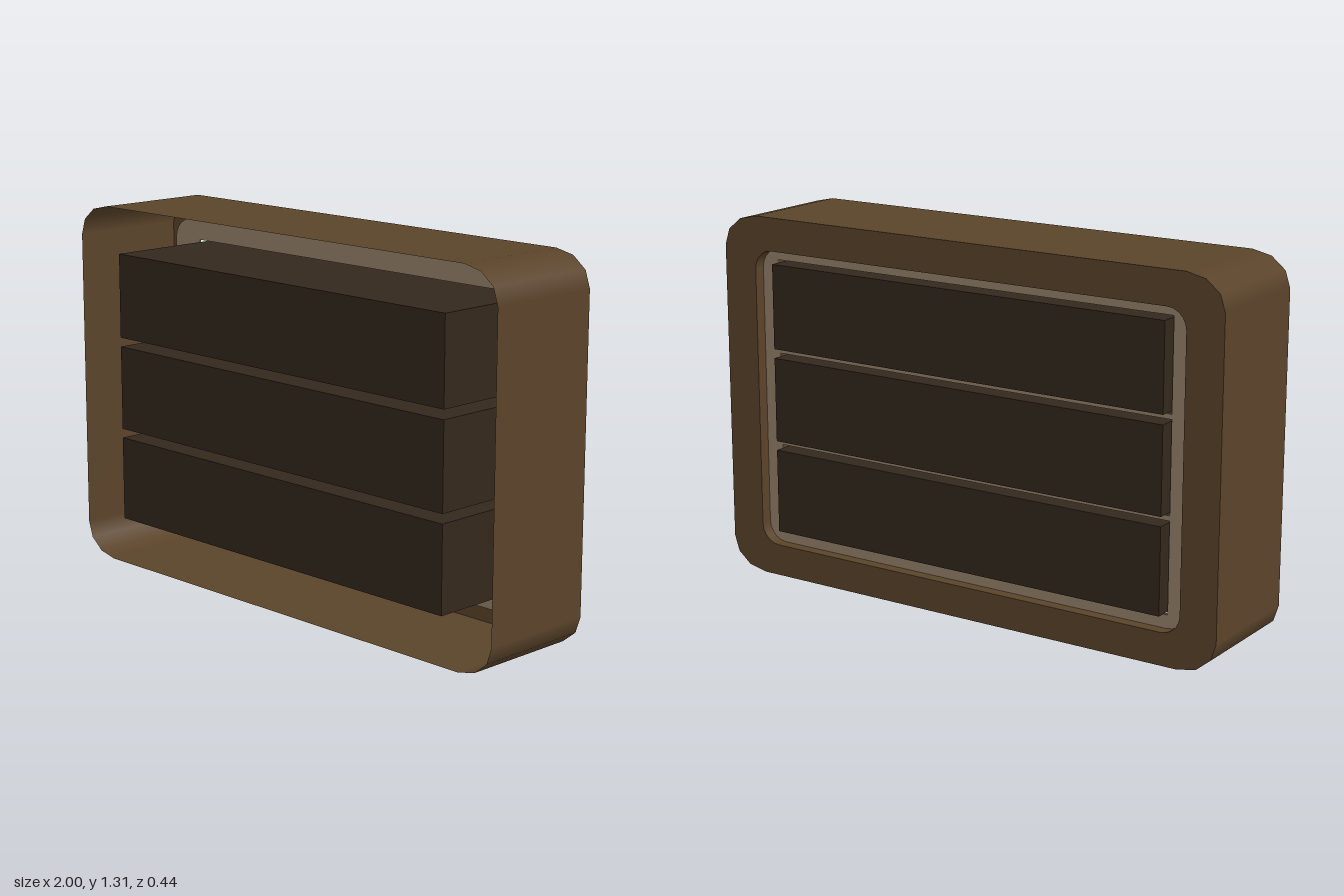
import * as THREE from 'three';

const BACK = -0.217, FRONT = 0.221, PANEL = -0.175, MID_Y = 0.657;

// Rounded rectangle loop: points with outward normals, counter-clockwise
function roundedLoop(hw, y0, y1, rx, ry, steps) {
  const loop = [];
  const corners = [[1, 1], [-1, 1], [-1, -1], [1, -1]];
  corners.forEach(([sx, sy], q) => {
    const cx = sx * (hw - rx);
    const cy = sy > 0 ? y1 - ry : y0 + ry;
    for (let i = 0; i <= steps; i++) {
      const a = (q + i / steps) * Math.PI / 2;
      const c = Math.cos(a), s = Math.sin(a);
      const n = new THREE.Vector2(c / rx, s / ry).normalize();
      loop.push({ p: new THREE.Vector2(cx + rx * c, cy + ry * s), n });
    }
  });
  return loop;
}

// Wall running along z around a loop; facing +1 outward, -1 inward
function wallGeometry(loop, zBack, zFront, facing) {
  const pos = [], nor = [], idx = [];
  const count = loop.length;
  loop.forEach(({ p, n }, i) => {
    pos.push(p.x, p.y, zBack, p.x, p.y, zFront);
    for (let k = 0; k < 2; k++) nor.push(n.x * facing, n.y * facing, 0);
    const a = i * 2, b = ((i + 1) % count) * 2;
    if (facing > 0) idx.push(a, b, b + 1, a, b + 1, a + 1);
    else idx.push(a, b + 1, b, a, a + 1, b + 1);
  });
  const g = new THREE.BufferGeometry();
  g.setAttribute('position', new THREE.Float32BufferAttribute(pos, 3));
  g.setAttribute('normal', new THREE.Float32BufferAttribute(nor, 3));
  g.setIndex(idx);
  return g;
}

const points = loop => loop.map(v => v.p);

export function createModel() {
  const group = new THREE.Group();
  const brown = new THREE.MeshStandardMaterial({ color: 0x5a432a, side: THREE.DoubleSide });
  const tan = new THREE.MeshStandardMaterial({ color: 0x97846b, side: THREE.DoubleSide });
  const dark = new THREE.MeshStandardMaterial({ color: 0x33281c });
  const add = (name, geometry, material) => {
    const mesh = new THREE.Mesh(geometry, material);
    mesh.name = name;
    group.add(mesh);
    return mesh;
  };

  const outer = roundedLoop(1, 0, 2 * MID_Y, 0.14, 0.115, 3);
  const opening = roundedLoop(0.865, 0.115, 1.195, 0.07, 0.07, 5);
  const panelEdge = roundedLoop(0.93, 0.07, 1.23, 0.08, 0.08, 5);

  // Thin outer shell, open at the front
  add('outerShell', wallGeometry(outer, BACK, FRONT, 1), brown);

  // Flat rim around the back opening, facing -z
  const rimShape = new THREE.Shape(points(outer));
  rimShape.holes.push(new THREE.Path(points(opening)));
  const rim = new THREE.ShapeGeometry(rimShape);
  rim.rotateY(Math.PI); // symmetric in x, so this only turns its face to the back
  add('backRim', rim, brown).position.z = BACK;

  // Lip stepping in from the rim to the recessed panel
  add('openingLip', wallGeometry(opening, BACK, PANEL, -1), brown);

  // Recessed panel with a slot for each block
  const blockW = 1.578, blockH = 0.305, gap = 0.008;
  const rows = [0.322, 0.66, 0.998];
  const panelShape = new THREE.Shape(points(panelEdge));
  for (const y of rows) {
    const w = blockW / 2 + gap, h = blockH / 2 + gap;
    panelShape.holes.push(new THREE.Path([
      new THREE.Vector2(-w, y - h), new THREE.Vector2(-w, y + h),
      new THREE.Vector2(w, y + h), new THREE.Vector2(w, y - h),
    ]));
  }
  const panel = new THREE.ExtrudeGeometry(panelShape, { depth: 0.006, bevelEnabled: false });
  add('slottedPanel', panel, tan).position.z = PANEL;

  // Three long blocks passing through the panel
  rows.forEach((y, i) => {
    const block = add(`block${i + 1}`, new THREE.BoxGeometry(blockW, blockH, 2 * FRONT), dark);
    block.position.set(-0.002, y, 0);
  });

  return group;
}
